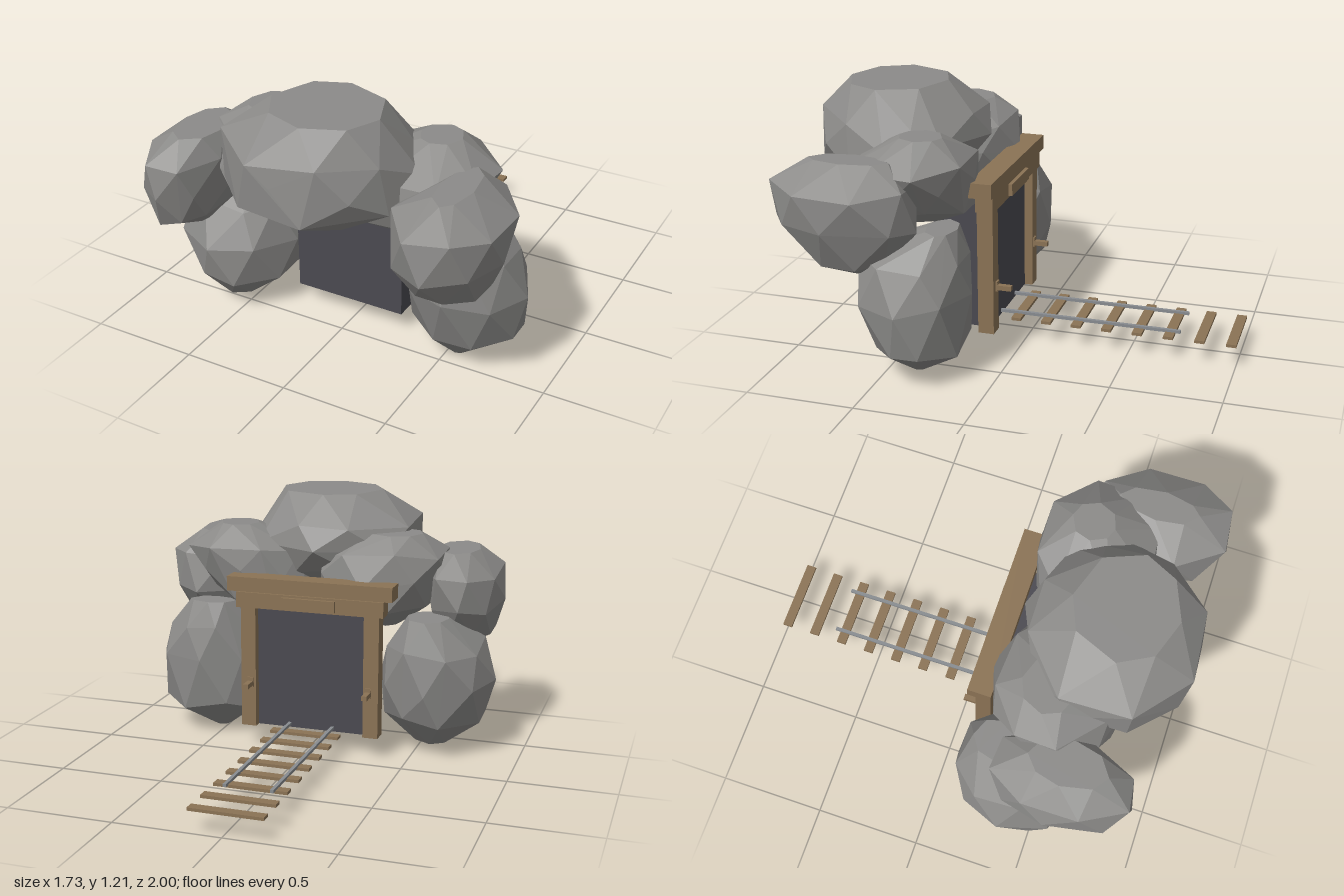
import * as THREE from 'three';
import { ConvexGeometry } from 'three/addons/geometries/ConvexGeometry.js';

const material = (name, color) => {
  const m = new THREE.MeshStandardMaterial({ color });
  m.name = name;
  return m;
};

// Small seeded generator
function seeded(seed) {
  let s = seed * 7919 + 17;
  return () => {
    s = (s * 16807) % 2147483647;
    return s / 2147483647;
  };
}

// Faceted boulder: hull around level cross-sections, each [y, x0, x1, z0, z1].
// Alternate sections are turned by half a side, with a little jitter.
function boulder(seed, sections, sides = 8) {
  const rand = seeded(seed);
  for (let i = 0; i < 5; i++) rand();
  const points = [];
  sections.forEach(([y, x0, x1, z0, z1], k) => {
    const turn = (k % 2) * 0.5;
    const grow = turn ? 0.5 / Math.cos(Math.PI / sides) : 0.5;
    for (let i = 0; i < sides; i++) {
      const a = ((i + turn) / sides) * Math.PI * 2 + (rand() - 0.5) * 0.22;
      points.push(new THREE.Vector3(
        (x0 + x1) / 2 + Math.cos(a) * (x1 - x0) * grow,
        // keep the lowest and highest sections level
        y + (k > 0 && k < sections.length - 1 ? (rand() - 0.5) * 0.05 : 0),
        (z0 + z1) / 2 + Math.sin(a) * (z1 - z0) * grow));
    }
  });
  return new ConvexGeometry(points);
}

export function createModel() {
  const model = new THREE.Group();
  model.name = 'mineEntrance';

  const rock = material('rock grey', 0x8c8b89);
  const wood = material('timber brown', 0x8b7355);
  const dark = material('tunnel dark', 0x4a4950);
  const steel = material('rail steel', 0x888c90);

  const add = (name, geometry, mat, parent = model) => {
    const mesh = new THREE.Mesh(geometry, mat);
    mesh.name = name;
    parent.add(mesh);
    return mesh;
  };
  // Box given by its ranges on each axis
  const block = (name, mat, [x0, x1], [y0, y1], [z0, z1], parent) =>
    add(name, new THREE.BoxGeometry(x1 - x0, y1 - y0, z1 - z0), mat, parent)
      .position.set((x0 + x1) / 2, (y0 + y1) / 2, (z0 + z1) / 2);

  // Boulders stacked in an arch
  const rocks = new THREE.Group();
  rocks.name = 'boulders';
  model.add(rocks);
  const addBoulder = (name, seed, sections) => add(name, boulder(seed, sections), rock, rocks);

  addBoulder('lowerRightSideBoulder', 1, [
    [0.045, -0.67, -0.47, 0.25, 0.55],
    [0.18, -0.8, -0.34, 0.14, 0.65],
    [0.35, -0.87, -0.29, 0.08, 0.695],
    [0.53, -0.8, -0.36, 0.1, 0.58],
    [0.67, -0.65, -0.45, 0.15, 0.4],
  ]);
  addBoulder('lowerLeftSideBoulder', 2, [
    [0, 0.5, 0.58, 0.33, 0.42],
    [0.15, 0.32, 0.8, 0.15, 0.53],
    [0.38, 0.285, 0.852, 0.11, 0.635],
    [0.55, 0.33, 0.775, 0.15, 0.6],
    [0.68, 0.42, 0.65, 0.18, 0.32],
  ]);
  addBoulder('upperRightSideBoulder', 3, [
    [0.48, -0.7, -0.62, 0.55, 0.68],
    [0.55, -0.8, -0.54, 0.4, 0.85],
    [0.7, -0.865, -0.485, 0.27, 0.92],
    [0.85, -0.83, -0.49, 0.28, 0.9],
    [0.95, -0.73, -0.52, 0.42, 0.78],
  ]);
  addBoulder('upperLeftSideBoulder', 4, [
    [0.48, 0.6, 0.68, 0.55, 0.63],
    [0.54, 0.47, 0.77, 0.45, 0.83],
    [0.7, 0.4, 0.865, 0.32, 0.99],
    [0.88, 0.41, 0.863, 0.36, 0.97],
    [0.985, 0.56, 0.71, 0.45, 0.82],
  ]);
  addBoulder('rightShoulderBoulder', 5, [
    [0.59, -0.38, -0.25, 0.35, 0.6],
    [0.7, -0.52, 0, 0.18, 0.75],
    [0.83, -0.6, 0.05, 0.14, 0.77],
    [0.95, -0.58, 0, 0.2, 0.7],
    [1.04, -0.48, -0.2, 0.3, 0.55],
  ]);
  addBoulder('leftShoulderBoulder', 6, [
    [0.64, 0.1, 0.4, 0.3, 0.55],
    [0.72, 0.05, 0.55, 0.2, 0.65],
    [0.84, 0.05, 0.65, 0.16, 0.7],
    [0.95, 0.1, 0.69, 0.17, 0.68],
    [1.055, 0.34, 0.53, 0.28, 0.48],
  ]);
  addBoulder('crownBoulder', 7, [
    [0.71, -0.06, 0.2, 0.48, 0.8],
    [0.84, -0.39, 0.37, 0.3, 0.99],
    [0.96, -0.42, 0.44, 0.2, 1.0],
    [1.07, -0.4, 0.35, 0.27, 0.985],
    [1.205, -0.22, 0.29, 0.4, 0.87],
  ]);

  // Dark tunnel block
  block('tunnel', dark, [-0.285, 0.255], [0.1, 0.7], [0.13, 0.4]);

  // Timber frame, centred slightly off the middle
  const frame = new THREE.Group();
  frame.name = 'timberFrame';
  frame.position.x = -0.016;
  model.add(frame);
  for (const side of [-1, 1]) {
    const post = side * 0.307;
    const peg = side * 0.296;
    block('post', wood, [post - 0.037, post + 0.037], [0.1, 0.7], [0.09, 0.165], frame);
    block('peg', wood, [peg - 0.013, peg + 0.013], [0.307, 0.33], [0.018, 0.09], frame);
    block('pegPlate', wood, [peg - 0.015, peg + 0.015], [0.3, 0.348], [0.082, 0.09], frame);
  }
  block('lowerBeam', wood, [-0.365, 0.365], [0.695, 0.77], [0.083, 0.165], frame);
  block('upperBeam', wood, [-0.408, 0.408], [0.775, 0.845], [0.075, 0.185], frame);
  block('beamPlate', wood, [-0.132, 0.132], [0.705, 0.76], [0.065, 0.083], frame);

  // Track running out of the back
  const track = new THREE.Group();
  track.name = 'track';
  track.position.x = -0.016;
  model.add(track);
  for (let i = 0; i < 8; i++) {
    const z = 0.038 - i * 0.145;
    block('sleeper', wood, [-0.17, 0.17], [0.1, 0.114], [z - 0.023, z + 0.023], track);
  }
  for (const x of [-0.108, 0.108]) {
    block('rail', steel, [x - 0.008, x + 0.008], [0.111, 0.125], [-0.735, 0.13], track);
  }
  return model;
}
